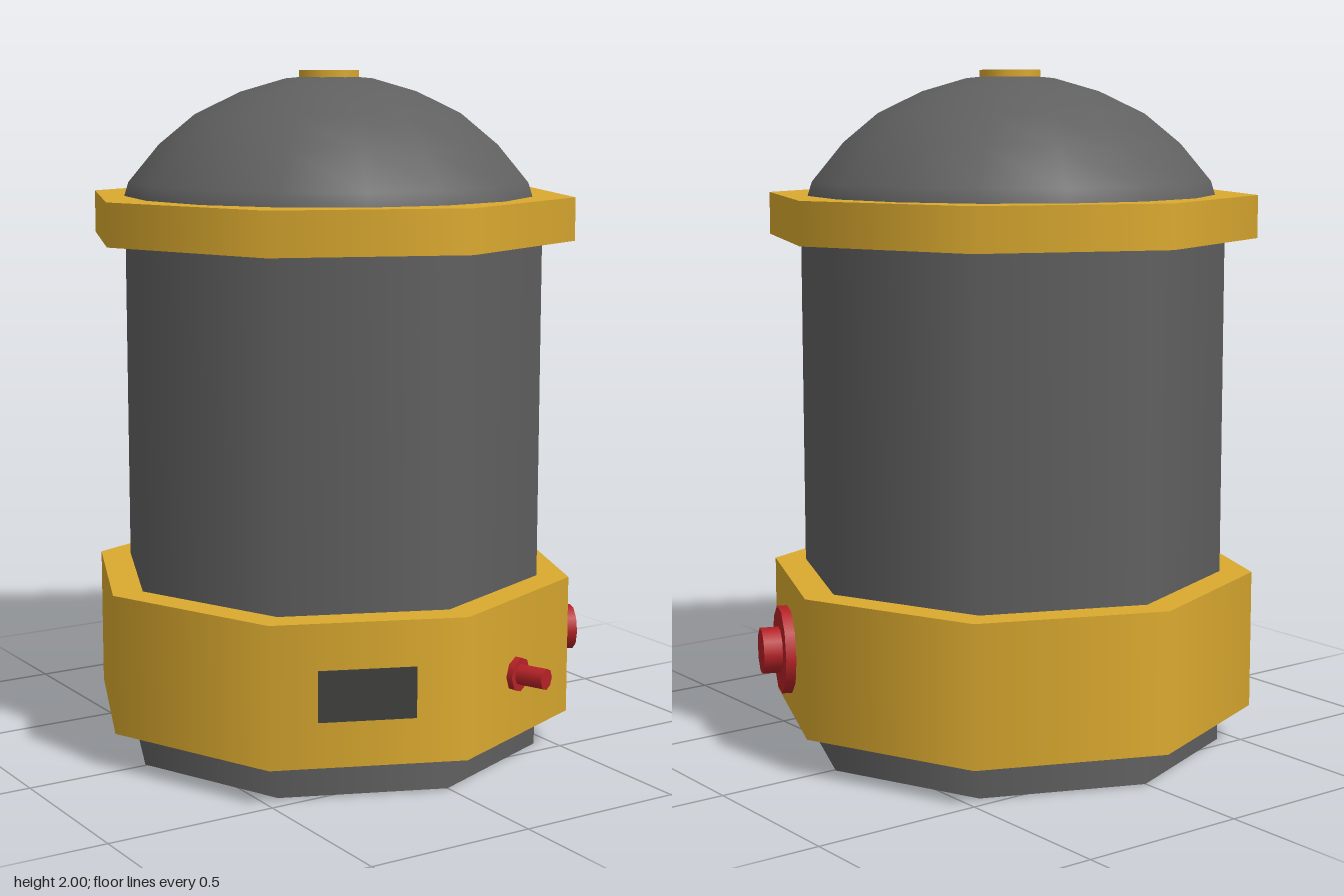
import * as THREE from 'three';

const material = (name, color) => {
  const m = new THREE.MeshStandardMaterial({ color });
  m.name = name;
  return m;
};

export function createModel() {
  const grey = material('dark grey metal', 0x606060);
  const gold = material('golden yellow', 0xdaa92f);
  const red = material('valve red', 0xb52226);
  const plateGrey = material('plate charcoal', 0x3e3e3c);

  const model = new THREE.Group();
  model.name = 'storageTank';
  const tank = new THREE.Group();
  tank.name = 'tank';
  tank.position.z = -0.006;
  model.add(tank);

  const add = (parent, name, geometry, mat) => {
    const mesh = new THREE.Mesh(geometry, mat);
    mesh.name = name;
    parent.add(mesh);
    return mesh;
  };

  // Upright octagonal drum between two heights
  const drum = (name, radius, y0, y1, mat) => {
    const mesh = add(tank, name, new THREE.CylinderGeometry(radius, radius, y1 - y0, 8), mat);
    mesh.position.y = (y0 + y1) / 2;
  };
  drum('body', 0.632, 0, 1.6, grey);
  drum('lowerBand', 0.727, 0.11, 0.52, gold);
  drum('upperBand', 0.727, 1.515, 1.64, gold);
  drum('topCap', 0.09, 1.96, 2, gold);

  // Domed lid
  const profile = [
    [0.606, 1.62], [0.603, 1.638], [0.59, 1.68], [0.5, 1.788],
    [0.395, 1.874], [0.262, 1.938], [0.13, 1.976], [0, 1.988],
  ].map(([r, y]) => new THREE.Vector2(r, y));
  add(tank, 'dome', new THREE.LatheGeometry(profile, 16), grey);

  // Group placed on one flat of the lower band, its +z pointing outwards
  const apothem = 0.727 * Math.cos(Math.PI / 8);
  const onBand = (name, degrees, y, offset) => {
    const turn = new THREE.Group();
    turn.name = name;
    turn.rotation.y = THREE.MathUtils.degToRad(degrees);
    const part = new THREE.Group();
    part.name = name + 'Mount';
    part.position.set(offset, y, apothem);
    turn.add(part);
    tank.add(turn);
    return part;
  };

  // Valve: flange disc with a stub pipe
  const valve = (name, degrees, sides, flangeR, flangeDepth, stubR, stubDepth) => {
    const part = onBand(name, degrees, 0.298, -0.024);
    const disc = (label, r, depth) => {
      const g = new THREE.CylinderGeometry(r, r, depth + 0.02, sides, 1, false, Math.PI / 2);
      g.rotateX(Math.PI / 2);
      add(part, label, g, red).position.z = (depth - 0.02) / 2;
    };
    disc(name + 'Flange', flangeR, flangeDepth);
    disc(name + 'Stub', stubR, stubDepth);
  };
  valve('largeValve', 67.5, 10, 0.13, 0.03, 0.068, 0.085);
  valve('smallValve', 22.5, 8, 0.05, 0.018, 0.031, 0.102);

  // Thin label plate
  const plate = onBand('labelPlate', -22.5, 0.314, -0.005);
  add(plate, 'plate', new THREE.BoxGeometry(0.276, 0.146, 0.008), plateGrey);

  return model;
}
